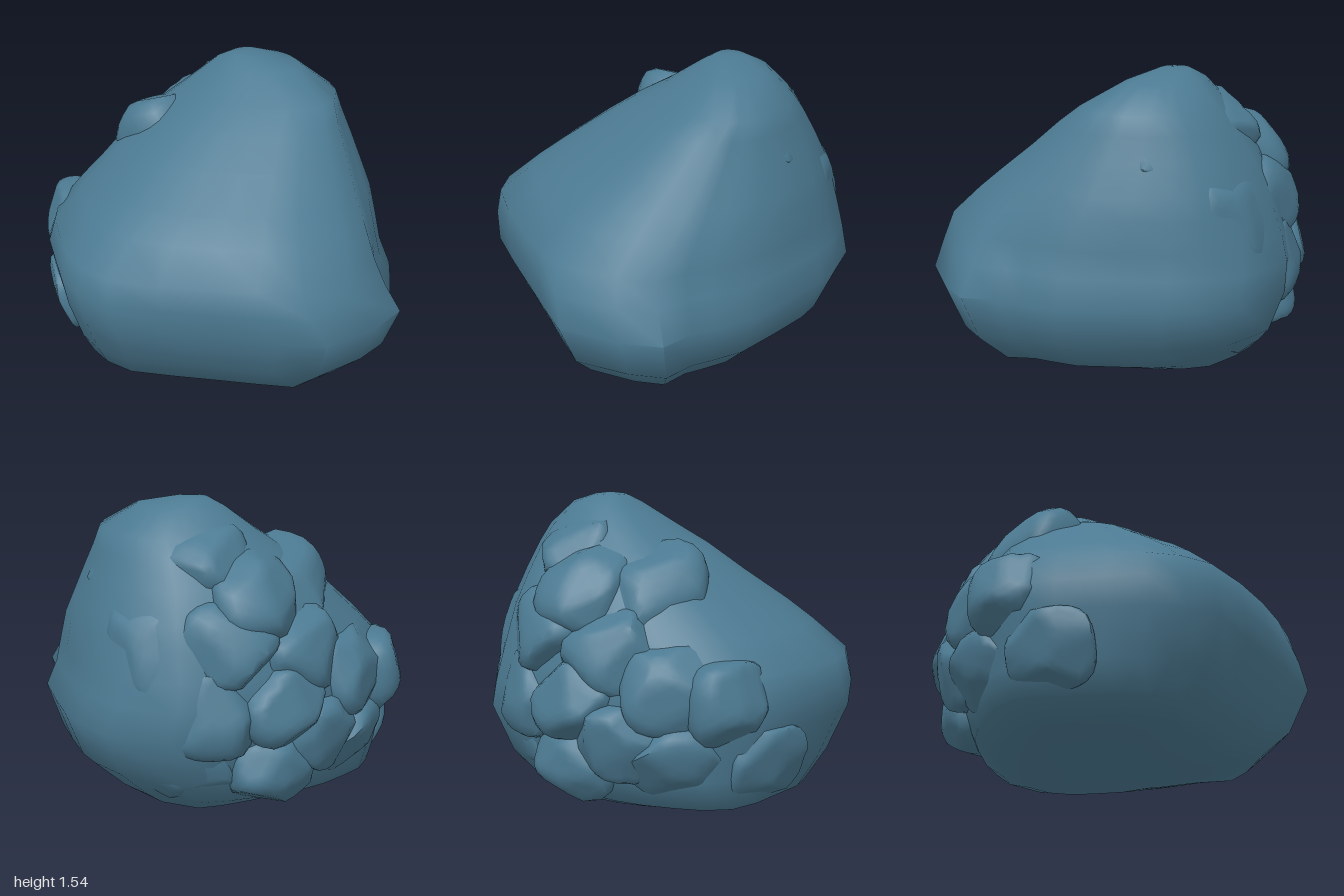
import * as THREE from 'three';
import { mergeVertices, toCreasedNormals } from 'three/addons/utils/BufferGeometryUtils.js';

const slate = new THREE.MeshStandardMaterial({ color: 0x4c7a92 });
slate.name = 'slateBlue';

function seeded(seed) {
  let s = seed * 7919 + 17;
  return () => (s = (s * 16807) % 2147483647) / 2147483647;
}

// Plan outline of the boulder, x and z, clockwise from the back
const outline = [
  [-0.23, -0.92], [0.12, -0.91], [0.33, -0.8], [0.45, -0.7], [0.62, -0.5], [0.78, -0.3], [0.85, -0.12],
  [0.89, 0], [1, 0.15], [0.94, 0.35], [0.78, 0.63], [0.55, 0.7], [0.3, 0.77], [0.04, 0.845], [-0.25, 0.92],
  [-0.45, 0.88], [-0.6, 0.79], [-0.73, 0.64], [-0.9, 0.45], [-1, 0.27], [-1, 0.08], [-0.94, -0.1],
  [-0.86, -0.29], [-0.75, -0.47], [-0.6, -0.63], [-0.4, -0.81],
];

// Height, then x and z limits of the outline at that height
const levels = [
  [0.01, -0.45, 0.35, -0.5, 0.3],
  [0.04, -0.62, 0.5, -0.6, 0.58],
  [0.1, -0.82, 0.74, -0.67, 0.68],
  [0.25, -0.86, 0.91, -0.82, 0.8],
  [0.48, -0.9, 1, -0.92, 0.91],
  [0.62, -0.92, 0.92, -0.9, 0.92],
  [0.75, -0.88, 0.86, -0.87, 0.9],
  [0.9, -0.78, 0.77, -0.83, 0.73],
  [1, -0.7, 0.7, -0.8, 0.6],
  [1.15, -0.59, 0.61, -0.73, 0.38],
  [1.28, -0.45, 0.53, -0.66, 0.2],
  [1.37, -0.34, 0.48, -0.6, 0.05],
  [1.49, -0.2, 0.26, -0.48, -0.14],
  [1.53, -0.12, 0.06, -0.38, -0.22],
];

function boulderGeometry() {
  const n = outline.length;
  const pos = [];
  const index = [];
  for (const [y, x0, x1, z0, z1] of levels) {
    // The plan grows rounder towards the top
    const round = 0.55 * THREE.MathUtils.smoothstep(y, 0.45, 1);
    for (const [x, z] of outline) {
      const k = THREE.MathUtils.lerp(1, 1 / Math.hypot(x, z / 0.92), round);
      pos.push(x0 + (x1 - x0) * (x * k + 1) / 2, y, z0 + (z1 - z0) * (z * k + 0.92) / 1.84);
    }
  }
  for (let k = 0; k < levels.length - 1; k++) {
    for (let i = 0; i < n; i++) {
      const j = (i + 1) % n;
      const a = k * n + i, b = k * n + j, c = b + n, d = a + n;
      index.push(a, d, c, a, c, b);
    }
  }
  // Close the underside and the summit
  const bottom = pos.length / 3;
  pos.push(-0.05, 0, -0.1, -0.03, 1.54, -0.3);
  const last = (levels.length - 1) * n;
  for (let i = 0; i < n; i++) {
    const j = (i + 1) % n;
    index.push(i, j, bottom, last + i, bottom + 1, last + j);
  }
  const g = new THREE.BufferGeometry();
  g.setAttribute('position', new THREE.Float32BufferAttribute(pos, 3));
  g.setIndex(index);
  return toCreasedNormals(g, 1.1);
}

// A blocky rounded stone with a few sides cut flat
function stoneGeometry(w, h, d, seed) {
  const rand = seeded(seed);
  let g = new THREE.IcosahedronGeometry(1, 4);
  g.deleteAttribute('normal');
  g.deleteAttribute('uv');
  g = mergeVertices(g, 1e-3);
  const cuts = [];
  for (let i = 0; i < 8; i++) {
    const dir = new THREE.Vector3(rand() - 0.5, rand() - 0.5, rand() * 0.6).normalize();
    cuts.push([dir, 0.8 + rand() * 0.15]);
  }
  const p = g.attributes.position;
  const v = new THREE.Vector3();
  for (let i = 0; i < p.count; i++) {
    v.fromBufferAttribute(p, i);
    const norm = Math.abs(v.x) ** 3 + Math.abs(v.y) ** 3 + Math.abs(v.z) ** 3;
    v.divideScalar(Math.cbrt(norm));
    for (const [dir, limit] of cuts) {
      const over = v.dot(dir) - limit;
      if (over > 0) v.addScaledVector(dir, -over);
    }
    p.setXYZ(i, v.x * w * 1.08, v.y * h * 1.08, v.z * d * 1.08);
  }
  return toCreasedNormals(g, 0.9);
}

// Name, centre, then half width, half height and half depth
const stones = [
  ['leftShoulder', -0.46, 1.1, -0.15, 0.26, 0.26, 0.16],
  ['upperBackShoulder', -0.41, 1.12, -0.47, 0.2, 0.23, 0.13],
  ['crownBack', -0.14, 1.27, -0.49, 0.22, 0.19, 0.13],
  ['crownRight', 0.2, 1.24, -0.46, 0.23, 0.2, 0.11],
  ['upperSide', -0.63, 0.84, -0.36, 0.22, 0.2, 0.12],
  ['middleSide', -0.79, 0.68, -0.09, 0.22, 0.2, 0.13],
  ['sideBulge', -0.83, 0.62, 0.18, 0.2, 0.19, 0.15],
  ['upperBack', -0.36, 0.9, -0.64, 0.22, 0.2, 0.12],
  ['backFace', -0.02, 0.92, -0.72, 0.22, 0.27, 0.1],
  ['cornerMiddle', -0.6, 0.6, -0.53, 0.2, 0.18, 0.13],
  ['backMiddle', -0.31, 0.58, -0.73, 0.2, 0.2, 0.12],
  ['lowerCorner', -0.72, 0.42, -0.33, 0.2, 0.18, 0.12],
  ['cornerFoot', -0.54, 0.27, -0.52, 0.2, 0.16, 0.13],
  ['backFoot', -0.18, 0.31, -0.71, 0.22, 0.18, 0.1],
  ['sideFoot', -0.79, 0.34, -0.04, 0.23, 0.18, 0.1],
  ['frontSideFoot', -0.77, 0.31, 0.38, 0.2, 0.18, 0.07],
];

export function createModel() {
  const rock = new THREE.Group();
  rock.name = 'rock';

  const body = new THREE.Mesh(boulderGeometry(), slate);
  body.name = 'boulder';
  rock.add(body);

  // Knobbly stones on the weathered side, each facing outward
  stones.forEach(([name, x, y, z, w, h, d], i) => {
    const stone = new THREE.Mesh(stoneGeometry(w, h, d, i + 3), slate);
    stone.name = name + 'Stone';
    stone.position.set(x, y, z);
    stone.lookAt(x * 2, y * 2 - 0.6, z * 2);
    rock.add(stone);
  });
  return rock;
}
